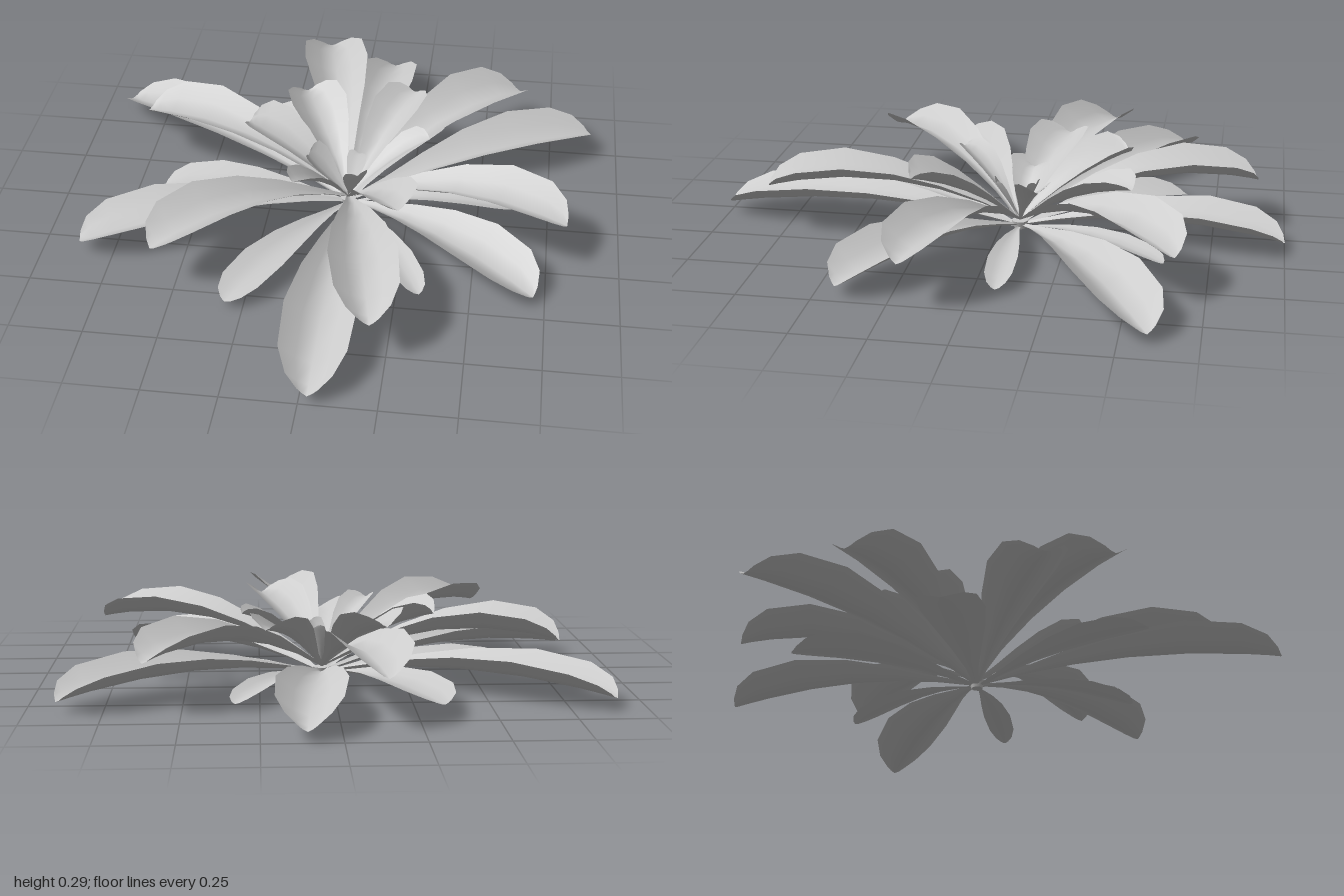
import * as THREE from 'three';

const CENTRE = { x: 0.03, z: -0.07 };
// Leaf outline: [fraction of length, fraction of half width]
const OUTLINE = [[0, 0.08], [0.15, 0.2], [0.32, 0.48], [0.5, 0.78], [0.7, 1], [0.88, 0.92], [0.96, 0.62], [1, 0.28]];
const COLUMNS = [-1, -0.5, 0, 0.5, 1];

// Each tier: midrib heights (base, bend, tip), cupping, leaves as [tip x, tip z, half width]
const TIERS = [
  { name: 'lowLeaf', base: 0.01, bend: 0.13, tip: 0.035, cup: 0.6, leaves: [
    [0.03, 1.0, 0.12], [-0.87, 0.32, 0.115], [-0.9, -0.62, 0.12], [0.11, -1.0, 0.115],
    [0.9, -0.59, 0.12], [0.71, 0.43, 0.12]] },
  { name: 'smallLowLeaf', base: 0.005, bend: 0.09, tip: 0.025, cup: 0.3, leaves: [
    [-0.31, 0.57, 0.08], [-0.65, -0.05, 0.11], [-0.34, -0.64, 0.11],
    [0.33, -0.6, 0.055], [0.63, -0.08, 0.05], [0.33, 0.45, 0.055]] },
  { name: 'upperLeaf', base: 0.03, bend: 0.27, tip: 0.17, cup: 0.6, leaves: [
    [0.2, 0.8, 0.115], [-0.57, 0.5, 0.12], [-0.76, -0.34, 0.125], [-0.14, -0.9, 0.12],
    [0.62, -0.65, 0.125], [0.81, 0.2, 0.12]] },
  { name: 'innerLeaf', base: 0.03, bend: 0.2, tip: 0.24, cup: 0.65, leaves: [
    [-0.35, -0.2, 0.105], [-0.17, -0.44, 0.105], [0.23, -0.48, 0.09],
    [0.31, -0.17, 0.06], [0.24, 0.28, 0.105], [-0.14, 0.16, 0.06]] },
  { name: 'heartLeaf', base: 0.04, bend: 0.1, tip: 0.18, cup: 0.7, leaves: [
    [-0.12, -0.1, 0.07], [0.07, 0.01, 0.045], [0.06, -0.13, 0.04]] },
];

// Cupped, arching blade with a blunt tip
function leafGeometry([tipX, tipZ, halfWidth], tier) {
  const dx = tipX - CENTRE.x, dz = tipZ - CENTRE.z;
  const length = Math.hypot(dx, dz);
  const sideX = dz / length, sideZ = -dx / length;
  const positions = [], index = [];
  const n = COLUMNS.length;
  OUTLINE.forEach(([t, w], row) => {
    const y = (1 - t) ** 2 * tier.base + 2 * t * (1 - t) * tier.bend + t * t * tier.tip;
    for (const u of COLUMNS) {
      const offset = u * w * halfWidth;
      // the centre of the tip reaches slightly past its corners
      const along = t - (row === OUTLINE.length - 1 ? Math.abs(u) * 0.01 : 0);
      positions.push(
        CENTRE.x + dx * along + sideX * offset,
        y + tier.cup * w * halfWidth * Math.abs(u) ** 1.4,
        CENTRE.z + dz * along + sideZ * offset);
    }
    if (row === 0) return;
    for (let c = 0; c < n - 1; c++) {
      const a = (row - 1) * n + c, b = a + n;
      index.push(a, a + 1, b, a + 1, b + 1, b);
    }
  });
  const geometry = new THREE.BufferGeometry();
  geometry.setAttribute('position', new THREE.Float32BufferAttribute(positions, 3));
  geometry.setIndex(index);
  geometry.computeVertexNormals();
  return geometry;
}

export function createModel() {
  const model = new THREE.Group();
  model.name = 'leafRosette';
  const material = new THREE.MeshStandardMaterial({ color: 0xcccccc, side: THREE.DoubleSide });

  for (const tier of TIERS) {
    const ring = new THREE.Group();
    ring.name = tier.name + 'Ring';
    tier.leaves.forEach((leaf, i) => {
      const mesh = new THREE.Mesh(leafGeometry(leaf, tier), material);
      mesh.name = tier.name + (i + 1);
      ring.add(mesh);
    });
    model.add(ring);
  }

  // Short root stub where the leaves meet
  const stub = new THREE.Mesh(new THREE.CylinderGeometry(0.03, 0.02, 0.03, 8), material);
  stub.name = 'rootStub';
  stub.position.set(CENTRE.x, 0.015, CENTRE.z);
  model.add(stub);
  return model;
}
